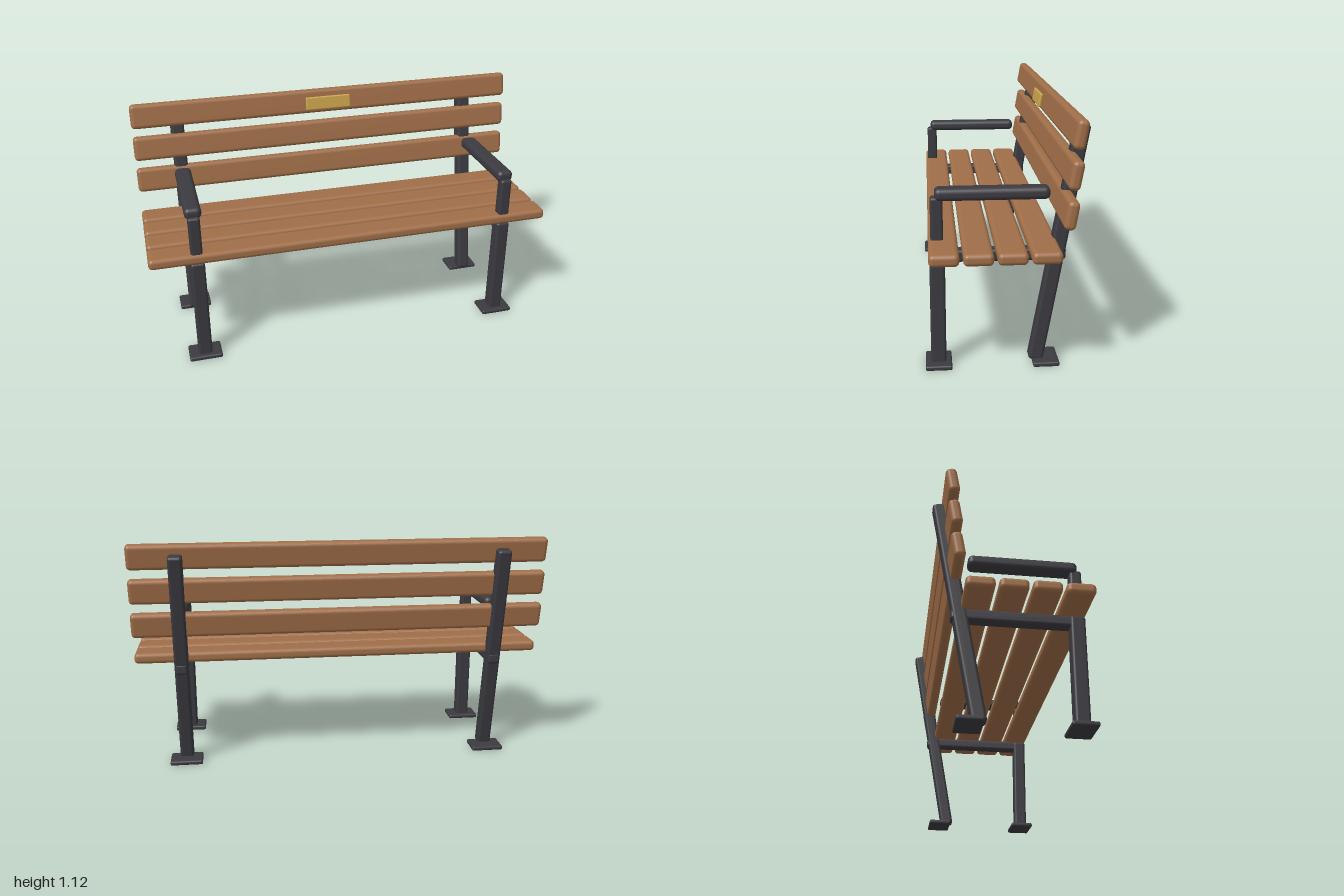
import * as THREE from 'three';
import { RoundedBoxGeometry } from 'three/addons/geometries/RoundedBoxGeometry.js';

const LEAN = -0.175; // backward tilt of the uprights and back slats

function material(name, color) {
  const m = new THREE.MeshStandardMaterial({ color });
  m.name = name;
  return m;
}

export function createModel() {
  const bench = new THREE.Group();
  bench.name = 'parkBench';
  const wood = material('warm wood', 0xa06e48);
  const iron = material('dark iron', 0x3a3a40);
  const brass = material('brass', 0xc9a24a);

  // Softly rounded bar: size and centre, optionally leaning backwards
  function bar(parent, name, mat, [w, h, d], [x, y, z], radius, lean = 0) {
    const mesh = new THREE.Mesh(new RoundedBoxGeometry(w, h, d, 3, radius), mat);
    mesh.name = name;
    mesh.position.set(x, y, z);
    mesh.rotation.x = lean;
    parent.add(mesh);
  }

  // Seat slats
  for (let i = 0; i < 4; i++) {
    bar(bench, 'seatSlat', wood, [2, 0.053, 0.126], [0, 0.556, 0.27 - i * 0.141], 0.02);
  }

  // Back slats, each a little further back than the one below
  for (let i = 0; i < 3; i++) {
    bar(bench, 'backSlat', wood, [2, 0.122, 0.05], [0, 0.733 + i * 0.165, -0.247 - i * 0.0145], 0.02, LEAN);
  }

  // Blank plaque on the top slat
  bar(bench, 'plaque', brass, [0.235, 0.067, 0.016], [0, 1.062, -0.236], 0.007, LEAN);

  // Iron end frames
  for (const side of [-1, 1]) {
    const frame = new THREE.Group();
    frame.name = side > 0 ? 'leftFrame' : 'rightFrame';
    frame.position.x = side * 0.775;
    bench.add(frame);

    bar(frame, 'frontLeg', iron, [0.067, 0.52, 0.067], [0, 0.272, 0.295], 0.012);
    bar(frame, 'armPost', iron, [0.056, 0.27, 0.054], [0, 0.633, 0.295], 0.012);
    bar(frame, 'armrest', iron, [0.08, 0.055, 0.49], [0, 0.78, 0.058], 0.022);
    bar(frame, 'seatRail', iron, [0.06, 0.055, 0.58], [0, 0.508, 0.031], 0.014);
    bar(frame, 'backUpright', iron, [0.067, 1.077, 0.066], [0, 0.543, -0.226], 0.014, LEAN);
    bar(frame, 'frontFoot', iron, [0.16, 0.022, 0.116], [0, 0.011, 0.295], 0.008);
    bar(frame, 'rearFoot', iron, [0.16, 0.022, 0.116], [0, 0.011, -0.176], 0.008);
  }

  return bench;
}
